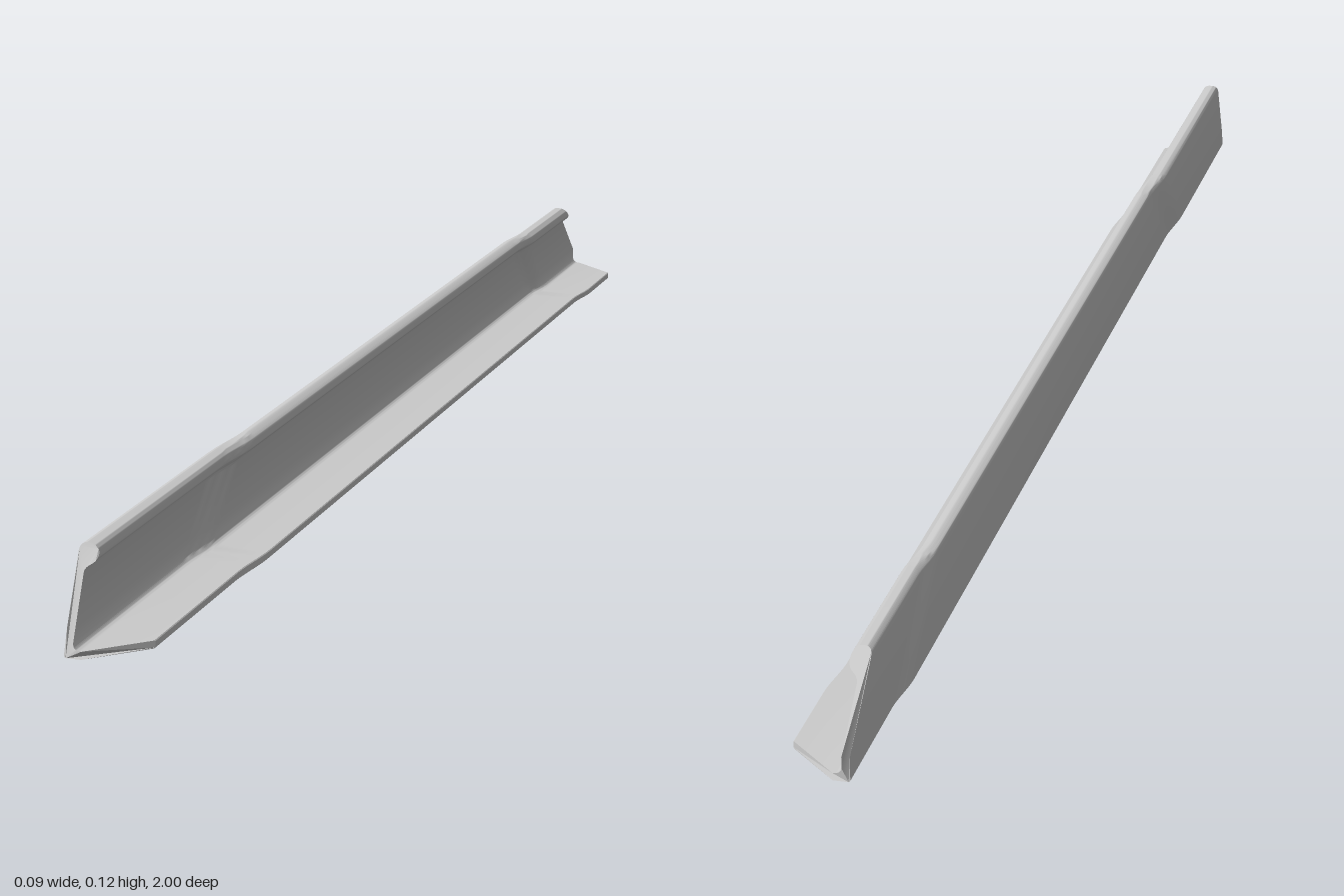
import * as THREE from 'three';
import { toCreasedNormals } from 'three/addons/utils/BufferGeometryUtils.js';

const STEP = 0.006; // sideways offset of each joggle
const BEND = 6; // segments across a joggle

// Bulb-angle cross-section: u across from the wall's outer face, y up
function angleProfile() {
  const s = new THREE.Shape();
  s.moveTo(0, 0.002);
  s.lineTo(0.002, 0);
  s.lineTo(0.02, 0);
  s.lineTo(0.08, 0);
  s.lineTo(0.081, 0.001);
  s.lineTo(0.081, 0.008);
  s.lineTo(0.08, 0.009);
  s.lineTo(0.02, 0.009);
  s.quadraticCurveTo(0.0095, 0.009, 0.0095, 0.018); // inner fillet
  s.lineTo(0.0095, 0.03);
  s.lineTo(0.0095, 0.085);
  s.quadraticCurveTo(0.0095, 0.09, 0.016, 0.0935); // under the bulb
  s.absarc(0.012, 0.104, 0.011, -1.15, Math.PI / 2, false); // bulb
  s.lineTo(0.009, 0.115);
  s.quadraticCurveTo(0, 0.115, 0, 0.105);
  s.lineTo(0, 0.03);
  return s;
}

// Bevelled end cuts, raked on the wall and mitred on the flange
const frontEnd = (u, y) =>
  1 - Math.max(0, y - 0.009) * 0.48 - Math.max(0, u - 0.02) * 0.98;
const backEnd = (u, y) =>
  -1 + Math.max(0, y - 0.03) * 1.13 + Math.max(0, u - 0.024) * 0.97;

// Stations along the rail for one profile point: [z, sideways offset]
function stations(u, y) {
  const list = [[backEnd(u, y), 2 * STEP]];
  const addJoggle = (z0, z1, from, to) => {
    for (let i = 0; i <= BEND; i++) {
      const t = i / BEND;
      list.push([
        THREE.MathUtils.lerp(z0, z1, t),
        THREE.MathUtils.lerp(from, to, t * t * (3 - 2 * t)),
      ]);
    }
  };
  const back = -0.84 + y * 1.1;
  const front = 0.6 - y * 1.1;
  addJoggle(back, back + 0.07, 2 * STEP, STEP);
  addJoggle(front, front + 0.09, STEP, 0);
  list.push([frontEnd(u, y), 0]);
  return list;
}

export function createModel() {
  const group = new THREE.Group();
  group.name = 'angleRail';

  const steps = 2 * (BEND + 1) + 1;
  const geometry = new THREE.ExtrudeGeometry(angleProfile(), {
    depth: 1, steps, bevelEnabled: false, curveSegments: 10,
  });

  // Spread the extrusion rings over the stations
  const pos = geometry.attributes.position;
  for (let i = 0; i < pos.count; i++) {
    const u = pos.getX(i);
    const y = pos.getY(i);
    const [z, shift] = stations(u, y)[Math.round(pos.getZ(i) * steps)];
    pos.setXYZ(i, u - 0.048 + shift, y, z);
  }

  const rail = new THREE.Mesh(
    toCreasedNormals(geometry, 0.6),
    new THREE.MeshStandardMaterial({ color: 0xcccccc })
  );
  rail.name = 'bulbAngle';
  group.add(rail);
  return group;
}
